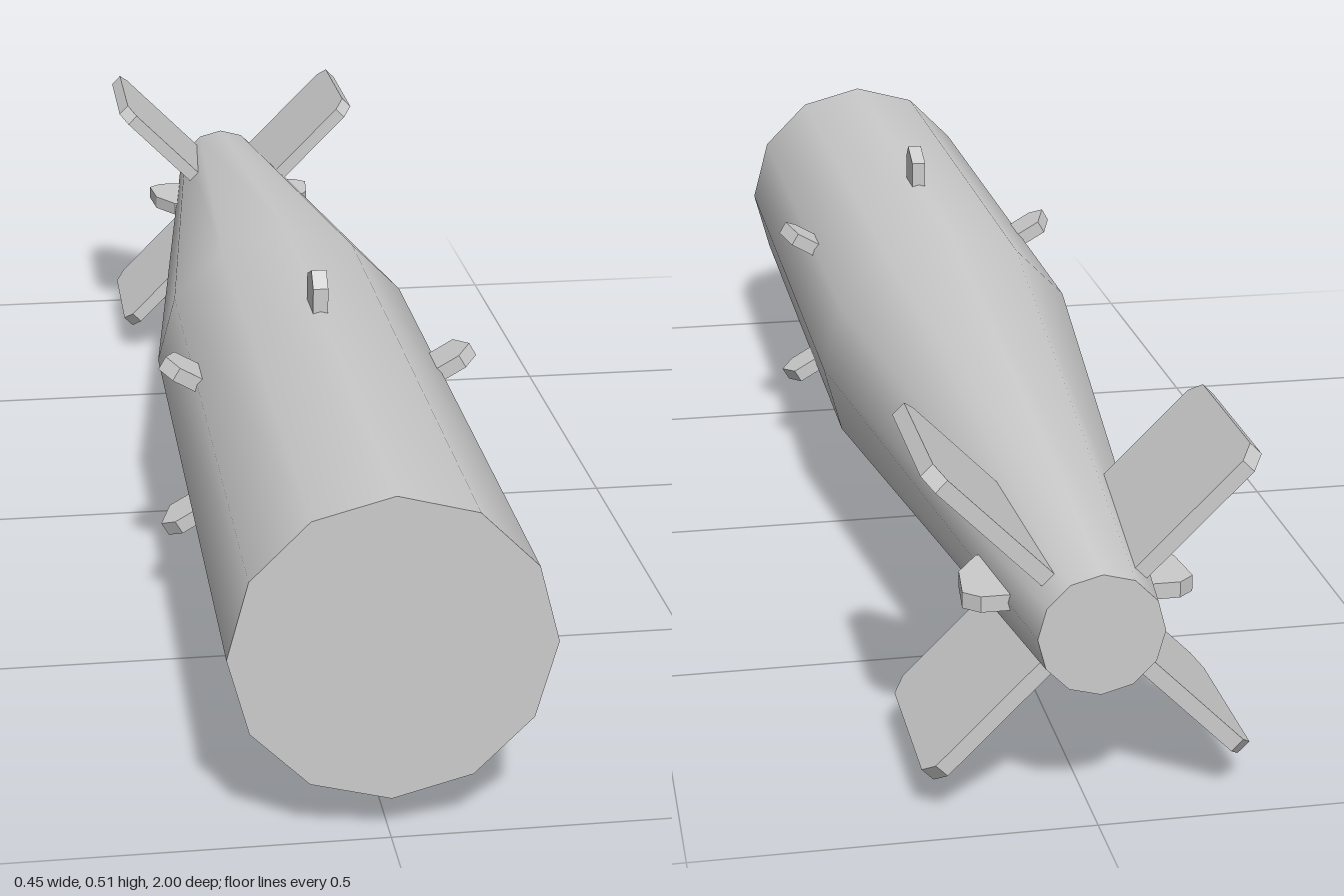
import * as THREE from 'three';

const CENTRE_Y = 0.255;
const material = new THREE.MeshStandardMaterial({ color: 0xcccccc });

// Thin plate from a [radius, z] outline, lying in the plane through the body axis
function plate(outline, thickness = 0.021) {
  const shape = new THREE.Shape(outline.map(([r, z]) => new THREE.Vector2(r, z)));
  const geometry = new THREE.ExtrudeGeometry(shape, { depth: thickness, bevelEnabled: false });
  return geometry.translate(0, 0, -thickness / 2).rotateX(Math.PI / 2);
}

// Copies of a plate spread around the body axis
function ring(name, geometry, anglesInDegrees) {
  const group = new THREE.Group();
  group.name = name + 's';
  for (const angle of anglesInDegrees) {
    const mesh = new THREE.Mesh(geometry, material);
    mesh.name = name;
    mesh.rotation.z = THREE.MathUtils.degToRad(angle);
    group.add(mesh);
  }
  return group;
}

export function createModel() {
  const model = new THREE.Group();
  model.name = 'finnedCylinder';
  const body = new THREE.Group();
  body.name = 'body';
  body.position.y = CENTRE_Y;
  model.add(body);

  const add = (name, geometry) => {
    const mesh = new THREE.Mesh(geometry, material);
    mesh.name = name;
    body.add(mesh);
  };

  // Twelve-sided shell: straight front half, tapered tail
  const profile = [[0.078, -1], [0.2, 0], [0.2, 1]].map(([r, z]) => new THREE.Vector2(r, z));
  add('shell', new THREE.LatheGeometry(profile, 12).rotateX(Math.PI / 2));

  // Flat end caps
  add('frontCap', new THREE.CircleGeometry(0.2, 12).translate(0, 0, 1));
  add('rearCap', new THREE.CircleGeometry(0.078, 12).rotateY(Math.PI).translate(0, 0, -1));

  // Six small lugs around the middle
  const lug = plate([
    [0.17, 0.365], [0.17, 0.303], [0.236, 0.303], [0.254, 0.345], [0.233, 0.365],
  ]);
  body.add(ring('lug', lug, [30, 90, 150, 210, 270, 330]));

  // Four diagonal tail fins with clipped outer corners
  const fin = plate([
    [0.05, -0.707], [0.05, -0.957], [0.262, -0.957],
    [0.282, -0.937], [0.282, -0.727], [0.262, -0.707],
  ]);
  body.add(ring('tailFin', fin, [45, 135, 225, 315]));

  // Small tabs on both sides of the tail
  const tab = plate([
    [0.05, -0.765], [0.05, -0.89], [0.125, -0.89],
    [0.145, -0.873], [0.138, -0.81], [0.108, -0.765],
  ]);
  body.add(ring('tailTab', tab, [0, 180]));

  // Outlines run clockwise or not alike; mirrored order is handled by the extrusion
  return model;
}
